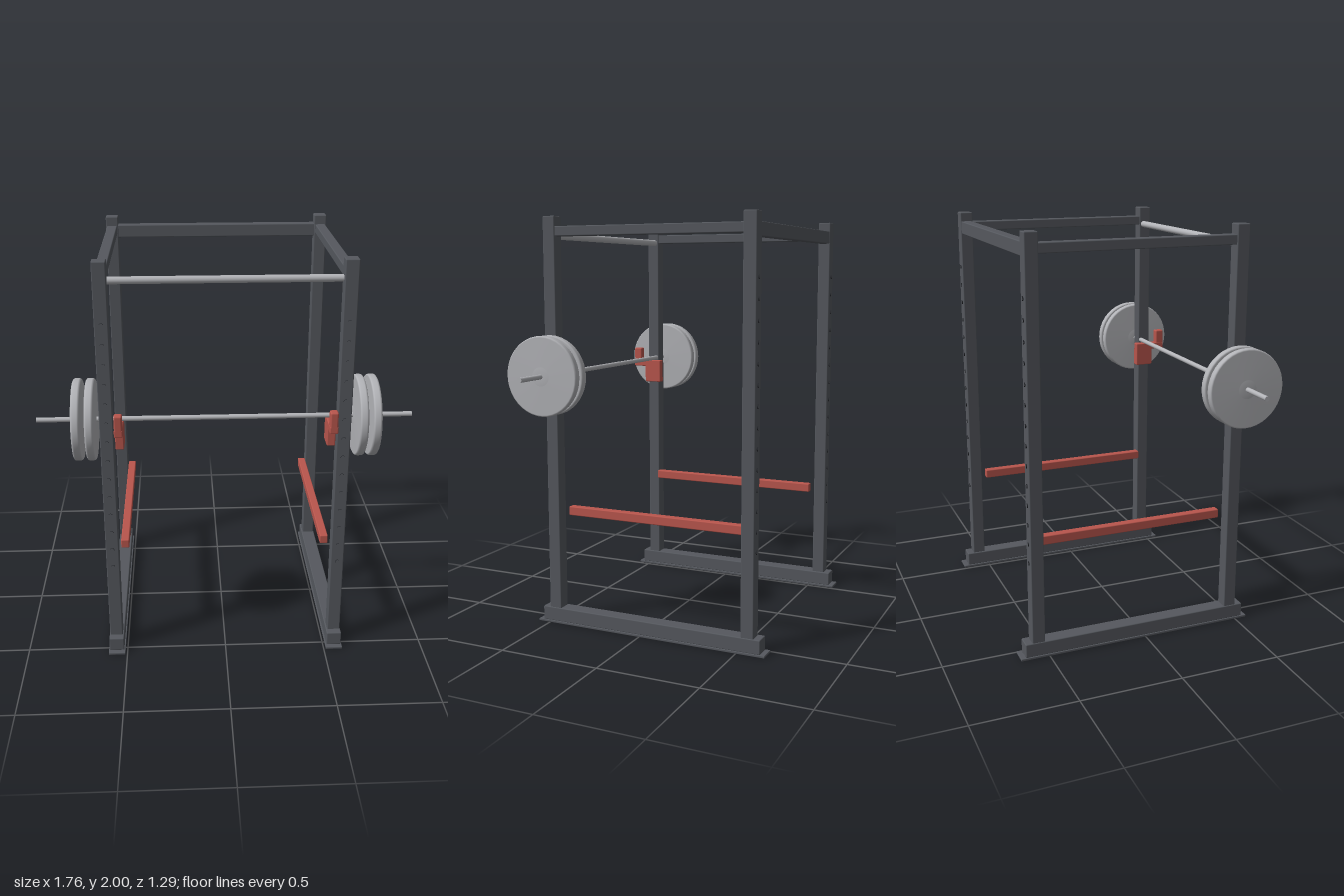
import * as THREE from 'three';
import { RoundedBoxGeometry } from 'three/addons/geometries/RoundedBoxGeometry.js';

const material = (name, color) => {
  const m = new THREE.MeshStandardMaterial({ color });
  m.name = name;
  return m;
};

export function createModel() {
  const frame = material('frame grey', 0x55585e);
  const red = material('safety red', 0xb9564d);
  const steel = material('steel', 0xb2b3b7);
  const dark = material('hole dark', 0x222428);

  const model = new THREE.Group();
  model.name = 'powerRack';

  const add = (parent, name, geometry, mat, x = 0, y = 0, z = 0) => {
    const mesh = new THREE.Mesh(geometry, mat);
    mesh.name = name;
    mesh.position.set(x, y, z);
    parent.add(mesh);
    return mesh;
  };

  // Softly bevelled box given by its limits on each axis
  const beam = (parent, name, mat, [x0, x1], [y0, y1], [z0, z1], bevel = 0.005) => add(
    parent, name,
    new RoundedBoxGeometry(x1 - x0, y1 - y0, z1 - z0, 2, bevel), mat,
    (x0 + x1) / 2, (y0 + y1) / 2, (z0 + z1) / 2);

  // Round bar along x
  const rod = (parent, name, mat, radius, x0, x1, y, z) => {
    const geometry = new THREE.CylinderGeometry(radius, radius, x1 - x0, 24);
    geometry.rotateZ(Math.PI / 2);
    return add(parent, name, geometry, mat, (x0 + x1) / 2, y, z);
  };

  const frontZ = 0.468, rearZ = -0.552, half = 0.032, postX = 0.555;
  const barY = 1.248, barZ = 0.451;

  // Weight plate: rounded rim and a slightly raised hub, turned about x
  const w = 0.02, r = 0.192;
  const plateProfile = [
    [0.011, -w - 0.003], [0.045, -w - 0.003], [0.046, -w], [r - 0.008, -w],
    [r - 0.002, -w + 0.004], [r, -w + 0.01], [r, w - 0.01],
    [r - 0.002, w - 0.004], [r - 0.008, w], [0.046, w], [0.045, w + 0.003], [0.011, w + 0.003],
  ].map(([px, py]) => new THREE.Vector2(px, py));
  const plateGeometry = new THREE.LatheGeometry(plateProfile, 40);
  plateGeometry.rotateZ(Math.PI / 2);

  // Thin hole rims facing along z
  const rimGeometry = new THREE.CylinderGeometry(0.01, 0.01, 0.006, 16, 1, true);
  rimGeometry.rotateX(Math.PI / 2);

  for (const s of [-1, 1]) {
    const side = new THREE.Group();
    side.name = s > 0 ? 'leftSide' : 'rightSide';
    model.add(side);
    const xr = (mid, h) => [s * mid - h, s * mid + h];

    // Base
    beam(side, 'footPlate', frame, xr(0.552, 0.042), [0, 0.012], [-0.642, 0.562], 0.003);
    beam(side, 'baseBeam', frame, xr(0.553, 0.037), [0.01, 0.08], [-0.618, 0.537]);

    // Uprights with hole rims on their outer faces
    for (const [z, label, d] of [[frontZ, 'front', 1], [rearZ, 'rear', -1]]) {
      beam(side, label + 'Upright', frame, xr(postX, half), [0.07, 2], [z - half, z + half]);
      for (let i = 0; i < 14; i++) {
        add(side, label + 'HoleRim', rimGeometry, dark, s * postX, 0.48 + i * 0.095, z + d * (half + 0.002));
      }
    }
    beam(side, 'topSideBeam', frame, xr(postX, 0.026), [1.905, 1.952], [rearZ + half - 0.01, frontZ - half + 0.01]);

    // Safety arm
    beam(side, 'safetyArm', red, xr(0.496, 0.02), [0.54, 0.585], [-0.505, 0.424]);

    // Bar hook: body, seat and front lip
    const hook = new THREE.Group();
    hook.name = 'barHook';
    side.add(hook);
    beam(hook, 'hookBody', red, xr(0.496, 0.02), [1.11, 1.235], [0.405, 0.5]);
    beam(hook, 'hookSeat', red, xr(0.496, 0.02), [1.2, 1.235], [0.45, 0.57]);
    beam(hook, 'hookLip', red, xr(0.496, 0.019), [1.205, 1.305], [0.525, 0.57], 0.008);

    // Two plates on each end of the barbell
    for (const x of [0.623, 0.684]) add(side, 'weightPlate', plateGeometry, steel, s * x, barY, barZ);
  }

  // Cross members
  beam(model, 'rearCrossBeam', frame, [-0.53, 0.53], [1.89, 1.955], [-0.58, -0.526]);
  rod(model, 'pullUpBar', steel, 0.017, -0.53, 0.53, 1.908, 0.46);

  // Barbell
  rod(model, 'barbell', steel, 0.0118, -0.88, 0.88, barY, barZ);

  return model;
}
